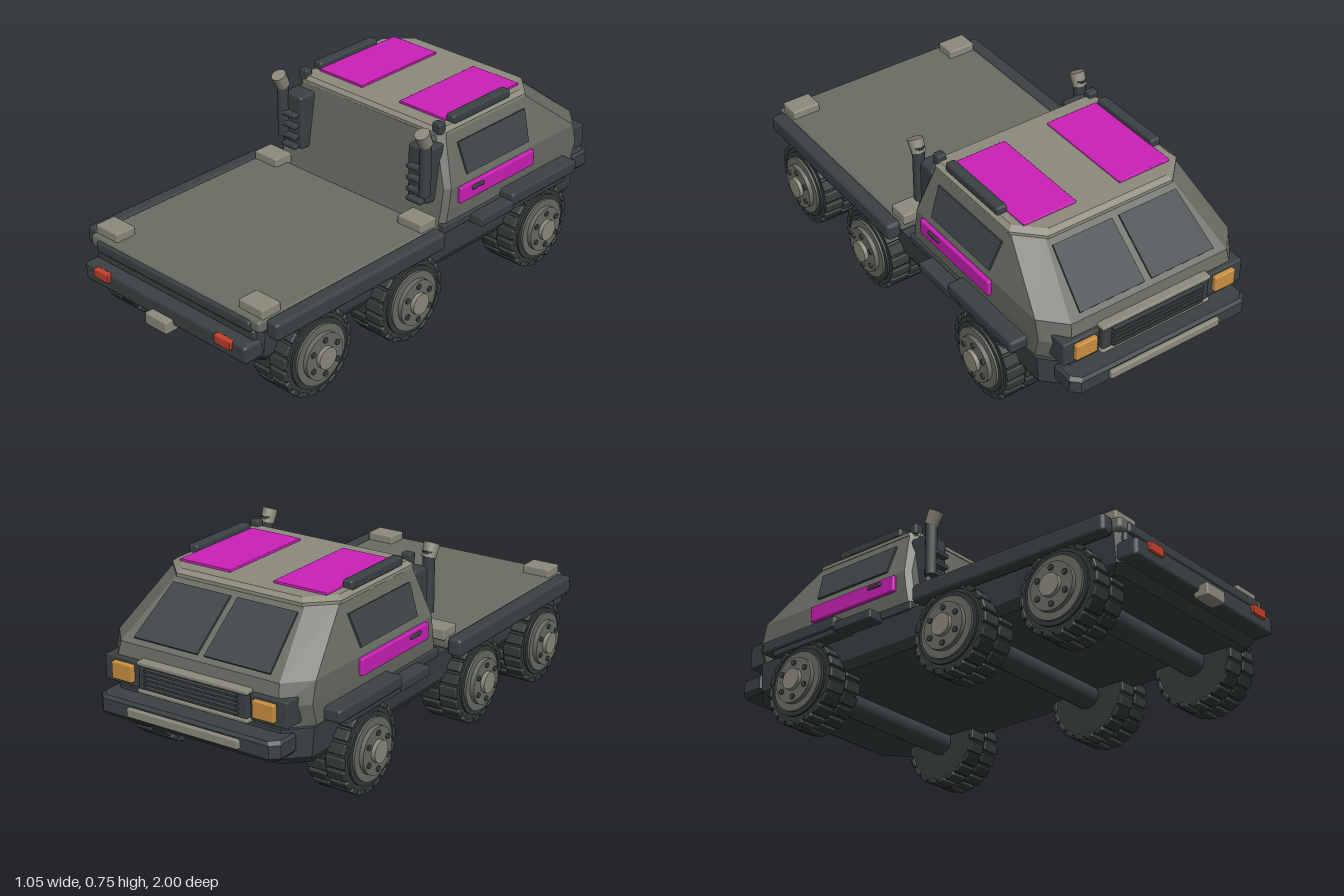
import * as THREE from 'three';
import { RoundedBoxGeometry } from 'three/addons/geometries/RoundedBoxGeometry.js';

const mat = (name, color) => {
  const m = new THREE.MeshStandardMaterial({ color });
  m.name = name;
  return m;
};
const M = {
  body: mat('olive body', 0x696d63), trim: mat('pale trim', 0x8d8b7d),
  dark: mat('dark frame', 0x3b4244), tyre: mat('tyre rubber', 0x353b3c),
  glass: mat('window glass', 0x3f4548), panel: mat('magenta panel', 0xcb20b6),
  red: mat('tail light', 0xc4402a), amber: mat('head light', 0xcb9040),
};

export function createModel() {
  const root = new THREE.Group();
  root.name = 'truck';
  const add = (name, geo, material, parent = root) => {
    const m = new THREE.Mesh(geo, material);
    m.name = name;
    parent.add(m);
    return m;
  };
  // Box with eased edges, given by its extents on each axis
  const box = (name, material, [x0, x1], [y0, y1], [z0, z1], r = 0.006) => {
    const s = [x1 - x0, y1 - y0, z1 - z0];
    const geo = new RoundedBoxGeometry(...s, 1, Math.min(r, Math.min(...s) * 0.45));
    return add(name, geo, material).position.set((x0 + x1) / 2, (y0 + y1) / 2, (z0 + z1) / 2);
  };
  // The same box on both sides
  const pair = (name, material, [x0, x1], y, z, r) => {
    box(name + 'Left', material, [x0, x1], y, z, r);
    box(name + 'Right', material, [-x1, -x0], y, z, r);
  };
  // Flat-shaded skin through rings of points, closed at both ends
  const loft = (rings) => {
    const p = [], n = rings[0].length;
    const tri = (...v) => v.forEach((q) => p.push(q.x, q.y, q.z));
    for (let k = 0; k < rings.length - 1; k++) {
      for (let i = 0; i < n; i++) {
        const j = (i + 1) % n, a = rings[k], b = rings[k + 1];
        tri(a[i], a[j], b[j]);
        tri(a[i], b[j], b[i]);
      }
    }
    const top = rings[rings.length - 1], low = rings[0];
    for (let i = 1; i < n - 1; i++) {
      tri(top[0], top[i], top[i + 1]);
      tri(low[0], low[i + 1], low[i]);
    }
    const g = new THREE.BufferGeometry();
    g.setAttribute('position', new THREE.Float32BufferAttribute(p, 3));
    g.computeVertexNormals();
    return g;
  };
  // Horizontal outline with cut front corners (cx, cz) and cut rear corners (r)
  const section = ([y, w, back, front, cx, cz, r]) => [
    [w, back - r], [w, front + cz], [w - cx, front], [cx - w, front],
    [-w, front + cz], [-w, back - r], [r - w, back], [w - r, back],
  ].map(([x, z]) => new THREE.Vector3(x, y, z));
  // Thin plate lying on a sloped face, corners counter-clockwise from outside
  const plate = (name, material, corners, t = 0.009) => {
    const c = corners.map((q) => new THREE.Vector3(...q));
    const n = c[1].clone().sub(c[0]).cross(c[2].clone().sub(c[0])).normalize();
    const lift = (d) => c.map((q) => q.clone().addScaledVector(n, d));
    add(name, loft([lift(-0.001), lift(t - 0.001)]), material);
  };
  const plates = (name, material, corners) => {
    plate(name + 'Left', material, corners);
    plate(name + 'Right', material, corners.map(([x, y, z]) => [-x, y, z]).reverse());
  };

  // Hull
  add('hull', loft([
    [0.19, 0.40, 0.87, -0.87, 0.08, 0.08, 0.02], [0.225, 0.42, 0.9, -0.9, 0.08, 0.08, 0.02],
    [0.335, 0.43, 0.9, -0.9, 0.08, 0.08, 0.02],
  ].map(section)), M.dark);

  // Cab with raked windscreen, and roof cap
  add('cab', loft([
    [0.335, 0.425, -0.03, -0.89, 0.08, 0.09, 0.02], [0.42, 0.428, -0.045, -0.915, 0.075, 0.09, 0.02],
    [0.50, 0.428, -0.057, -0.895, 0.085, 0.09, 0.02], [0.69, 0.363, -0.088, -0.655, 0.085, 0.085, 0.025],
  ].map(section)), M.body);
  add('roofCap', loft([
    [0.685, 0.368, -0.083, -0.665, 0.095, 0.095, 0.03], [0.698, 0.368, -0.083, -0.665, 0.095, 0.095, 0.03],
    [0.712, 0.35, -0.098, -0.645, 0.09, 0.09, 0.03],
  ].map(section)), M.trim);

  // Windows
  plates('windscreen', M.glass, [
    [0.295, 0.514, -0.877], [0.015, 0.514, -0.877], [0.015, 0.668, -0.683], [0.27, 0.668, -0.683]]);
  const sideX = (y) => 0.428 - 0.342 * (y - 0.5);
  plates('sideWindow', M.glass, [[0.525, -0.17], [0.525, -0.53], [0.645, -0.548], [0.645, -0.16]]
    .map(([y, z]) => [sideX(y), y, z]));

  // Roof panels, rails, door strips and handles
  pair('roofPanel', M.panel, [0.095, 0.32], [0.705, 0.721], [-0.587, -0.158], 0.003);
  pair('roofRail', M.dark, [0.317, 0.36], [0.705, 0.742], [-0.49, -0.165], 0.01);
  pair('doorStrip', M.panel, [0.41, 0.443], [0.427, 0.492], [-0.548, -0.117]);
  pair('doorHandle', M.dark, [0.43, 0.45], [0.465, 0.48], [-0.245, -0.178], 0.004);

  // Front fenders, wheel lips and steps
  pair('fender', M.dark, [0.40, 0.493], [0.335, 0.387], [-0.757, -0.365], 0.012);
  pair('wheelLip', M.dark, [0.40, 0.485], [0.315, 0.34], [-0.70, -0.33]);
  pair('sideStep', M.dark, [0.40, 0.493], [0.32, 0.358], [-0.372, -0.183]);
  pair('sill', M.dark, [0.40, 0.436], [0.33, 0.365], [-0.365, -0.035]);

  // Nose: grille, lamps and bumper
  box('grille', M.dark, [-0.235, 0.235], [0.355, 0.45], [-0.935, -0.87]);
  for (let i = 0; i < 5; i++) {
    const y = 0.367 + i * 0.0165;
    box('grilleSlat', M.dark, [-0.2, 0.2], [y, y + 0.009], [-0.952, -0.925], 0.002);
  }
  box('grilleTopTrim', M.trim, [-0.24, 0.24], [0.445, 0.462], [-0.94, -0.88]);
  box('grilleLowerTrim', M.trim, [-0.24, 0.24], [0.342, 0.358], [-0.94, -0.87]);
  pair('lampHousing', M.dark, [0.242, 0.395], [0.355, 0.452], [-0.925, -0.815]);
  pair('headLamp', M.amber, [0.26, 0.352], [0.372, 0.438], [-0.943, -0.915]);
  add('frontBumper', loft([
    [0.245, 0.375, -0.86, -0.97, 0.03, 0.03, 0.01], [0.262, 0.39, -0.86, -0.985, 0.03, 0.03, 0.01],
    [0.31, 0.39, -0.86, -0.985, 0.03, 0.03, 0.01], [0.322, 0.38, -0.86, -0.975, 0.03, 0.03, 0.01],
  ].map(section)), M.dark);
  box('bumperStrip', M.trim, [-0.242, 0.242], [0.27, 0.305], [-1, -0.975]);

  // Cargo bed
  box('deck', M.body, [-0.44, 0.44], [0.335, 0.386], [0.02, 0.915], 0.015);
  pair('bedRail', M.dark, [0.435, 0.495], [0.315, 0.386], [0.02, 0.885], 0.015);
  box('tailSill', M.dark, [-0.41, 0.41], [0.295, 0.34], [0.82, 0.915], 0.012);
  box('deckRearEdge', M.dark, [-0.40, 0.40], [0.33, 0.375], [0.88, 0.925], 0.012);
  pair('frontPad', M.trim, [0.315, 0.432], [0.375, 0.419], [0.005, 0.092]);
  pair('rearPad', M.trim, [0.315, 0.432], [0.375, 0.419], [0.805, 0.893]);

  // Rear bumper, lights and tow plate
  box('rearBumper', M.dark, [-0.42, 0.42], [0.227, 0.3], [0.87, 0.965], 0.015);
  pair('tailLamp', M.red, [0.277, 0.355], [0.266, 0.3], [0.955, 0.978], 0.003);
  box('towPlate', M.trim, [-0.055, 0.055], [0.207, 0.255], [0.94, 1]);

  // Exhaust stacks behind the cab
  pair('filterBox', M.dark, [0.272, 0.372], [0.438, 0.662], [-0.1, -0.008], 0.012);
  for (const y of [0.45, 0.49, 0.537, 0.583])
    pair('filterLouvre', M.dark, [0.287, 0.36], [y - 0.009, y + 0.009], [-0.02, 0.018], 0.005);
  for (const s of [1, -1]) {
    add('exhaustPipe', new THREE.CylinderGeometry(0.023, 0.023, 0.24, 12), M.dark).position.set(s * 0.365, 0.6, -0.002);
    const tip = add('exhaustTip', new THREE.CylinderGeometry(0.03, 0.027, 0.055, 12), M.trim);
    tip.position.set(s * 0.365, 0.715, 0.008);
    tip.rotation.x = 0.45;
    box('exhaustBracket', M.dark, [s * 0.34 - 0.02, s * 0.34 + 0.02], [0.69, 0.735], [-0.12, -0.085]);
  }

  // Wheels and axles
  const side = (r, len, n = 32) => new THREE.CylinderGeometry(r, r, len, n).rotateZ(Math.PI / 2);
  const lug = new RoundedBoxGeometry(0.076, 0.02, 0.04, 1, 0.005);
  for (const z of [-0.553, 0.19, 0.674]) {
    add('axle', side(0.05, 0.7, 20), M.dark).position.set(0, 0.168, z);
    for (const s of [1, -1]) {
      const wheel = new THREE.Group();
      wheel.name = 'wheel';
      wheel.position.set(s * 0.4, 0.168, z);
      root.add(wheel);
      add('tyre', side(0.157, 0.15), M.tyre, wheel);
      for (let i = 0; i < 40; i++) {
        const a = (i * Math.PI) / 20, m = add('treadBlock', lug, M.tyre, wheel);
        m.position.set(i % 2 ? 0.04 : -0.04, Math.cos(a) * 0.158, Math.sin(a) * 0.158);
        m.rotation.x = a;
      }
      add('sidewall', side(0.135, 0.02), M.tyre, wheel).position.x = s * 0.074;
      add('rim', side(0.118, 0.025), M.body, wheel).position.x = s * 0.08;
      add('rimDish', side(0.09, 0.02), M.body, wheel).position.x = s * 0.1;
      add('hub', side(0.042, 0.03, 20), M.trim, wheel).position.x = s * 0.111;
      for (let i = 0; i < 6; i++) {
        const a = (i * Math.PI) / 3;
        add('wheelNut', side(0.011, 0.012, 8), M.dark, wheel)
          .position.set(s * 0.11, Math.cos(a) * 0.068, Math.sin(a) * 0.068);
      }
    }
  }
  return root;
}
